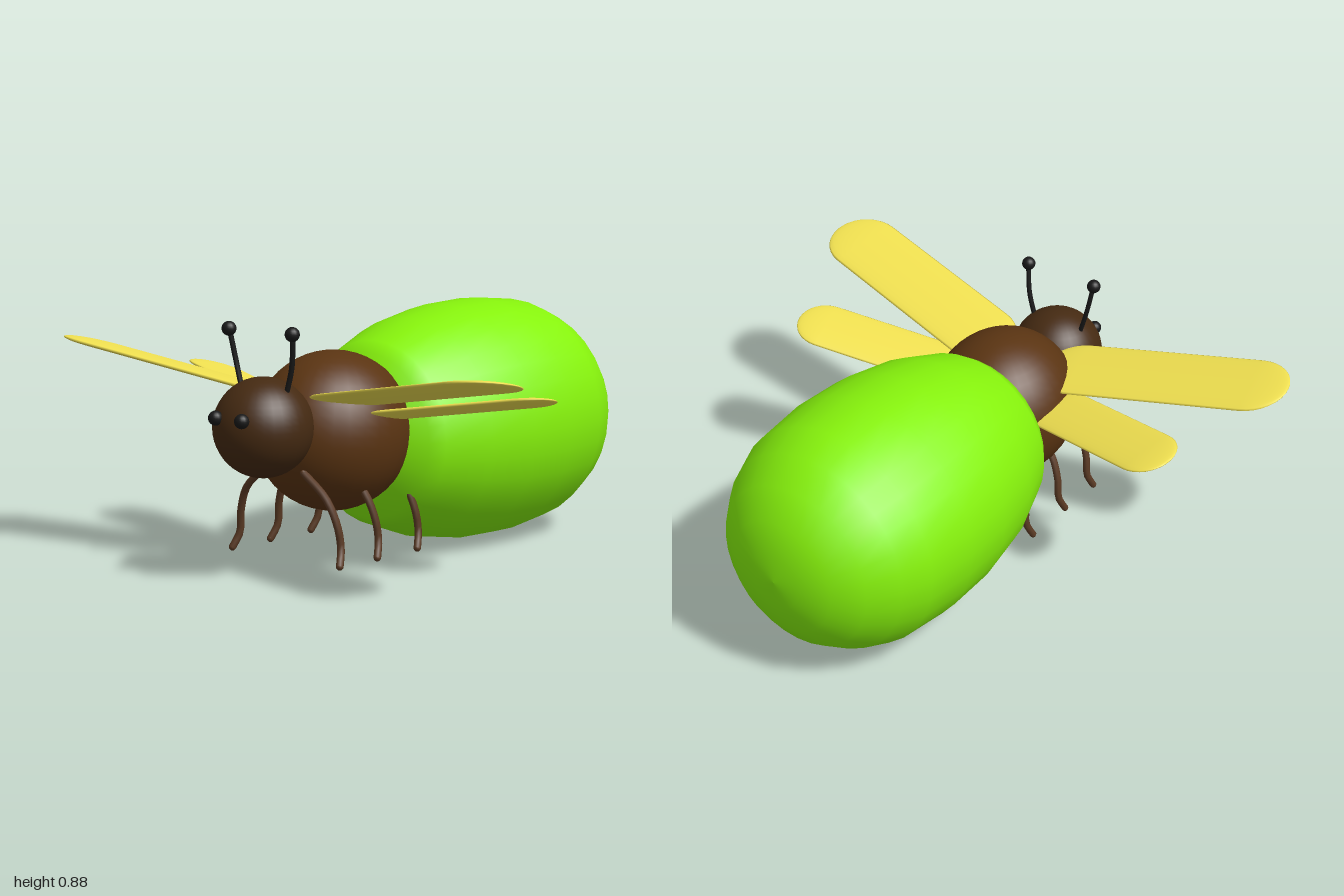
import * as THREE from 'three';

const mat = (color) => new THREE.MeshStandardMaterial({ color });
const V = (x, y, z) => new THREE.Vector3(x, y, z);

export function createModel() {
  const model = new THREE.Group();
  const green = mat(0x86f20c), brown = mat(0x5a3412), headBrown = mat(0x452a12);
  const legBrown = mat(0x5a3a24), yellow = mat(0xf0e050), black = mat(0x181818);

  const add = (name, geometry, material, x = 0, y = 0, z = 0) => {
    const mesh = new THREE.Mesh(geometry, material);
    mesh.name = name;
    mesh.position.set(x, y, z);
    model.add(mesh);
    return mesh;
  };

  const tube = (name, points, radius, material) => {
    const curve = new THREE.CatmullRomCurve3(points);
    add(name, new THREE.TubeGeometry(curve, 14, radius, 8), material);
    // rounded ends
    for (const p of [points[0], points[points.length - 1]]) {
      add(name + 'End', new THREE.SphereGeometry(radius, 8, 6), material, p.x, p.y, p.z);
    }
  };

  // Flattened capsule from root to tip, its chord dropping towards the back edge
  const wing = (name, root, tip, radius, thickness, tilt) => {
    const along = tip.clone().sub(root);
    const length = along.length();
    along.normalize();
    const chord = V(1, -tilt, 0);
    chord.addScaledVector(along, -chord.dot(along)).normalize();
    const normal = chord.clone().cross(along);
    const geometry = new THREE.CapsuleGeometry(radius, length, 8, 20);
    geometry.scale(1, 1, thickness / radius);
    geometry.applyMatrix4(new THREE.Matrix4().makeBasis(chord, along, normal));
    const mid = root.clone().add(tip).multiplyScalar(0.5);
    add(name, geometry, yellow, mid.x, mid.y, mid.z);
  };

  // Abdomen: profile of [radius, x] turned around the long axis
  const profile = [
    [0, -0.35], [0.1, -0.335], [0.2, -0.29], [0.295, -0.23], [0.33, -0.18], [0.395, 0],
    [0.43, 0.2], [0.4375, 0.4], [0.418, 0.6], [0.375, 0.71], [0.305, 0.81],
    [0.21, 0.88], [0.1, 0.914], [0, 0.921],
  ].map(([r, x]) => new THREE.Vector2(r, x));
  const abdomen = new THREE.LatheGeometry(profile, 32);
  abdomen.rotateZ(-Math.PI / 2);
  add('abdomen', abdomen, green, 0, 0.44, 0);

  // Thorax and head
  const thorax = add('thorax', new THREE.SphereGeometry(1, 32, 24), brown, -0.395, 0.478, 0);
  thorax.scale.set(0.29, 0.278, 0.265);
  thorax.rotation.z = -0.08;
  add('head', new THREE.SphereGeometry(0.17, 32, 24), headBrown, -0.74, 0.528, 0);

  for (const s of [1, -1]) {
    const side = s > 0 ? 'right' : 'left';

    // Eyes and antennae
    add(side + 'Eye', new THREE.SphereGeometry(0.025, 16, 12), black, -0.903, 0.572, s * 0.06);
    tube(side + 'Antenna',
      [V(-0.735, 0.64, s * 0.1), V(-0.735, 0.74, s * 0.128), V(-0.748, 0.85, s * 0.145)], 0.009, black);
    add(side + 'AntennaTip', new THREE.SphereGeometry(0.025, 16, 12), black, -0.75, 0.85, s * 0.145);

    // Wings
    wing(side + 'Forewing', V(-0.545, 0.622, s * 0.22), V(-0.672, 0.732, s * 0.862), 0.14, 0.014, 0.22);
    wing(side + 'Hindwing', V(-0.365, 0.556, s * 0.27), V(-0.24, 0.62, s * 0.71), 0.11, 0.013, 0.18);

    // Three legs a side
    [-0.63, -0.44, -0.23].forEach((x, i) => {
      tube(side + 'Leg' + (i + 1), [
        V(x - 0.01, 0.37, s * 0.09), V(x - 0.003, 0.29, s * 0.185), V(x + 0.008, 0.2, s * 0.225),
        V(x + 0.013, 0.125, s * 0.235), V(x - 0.01, 0.072, s * 0.25),
      ], 0.013, legBrown);
    });
  }
  return model;
}
